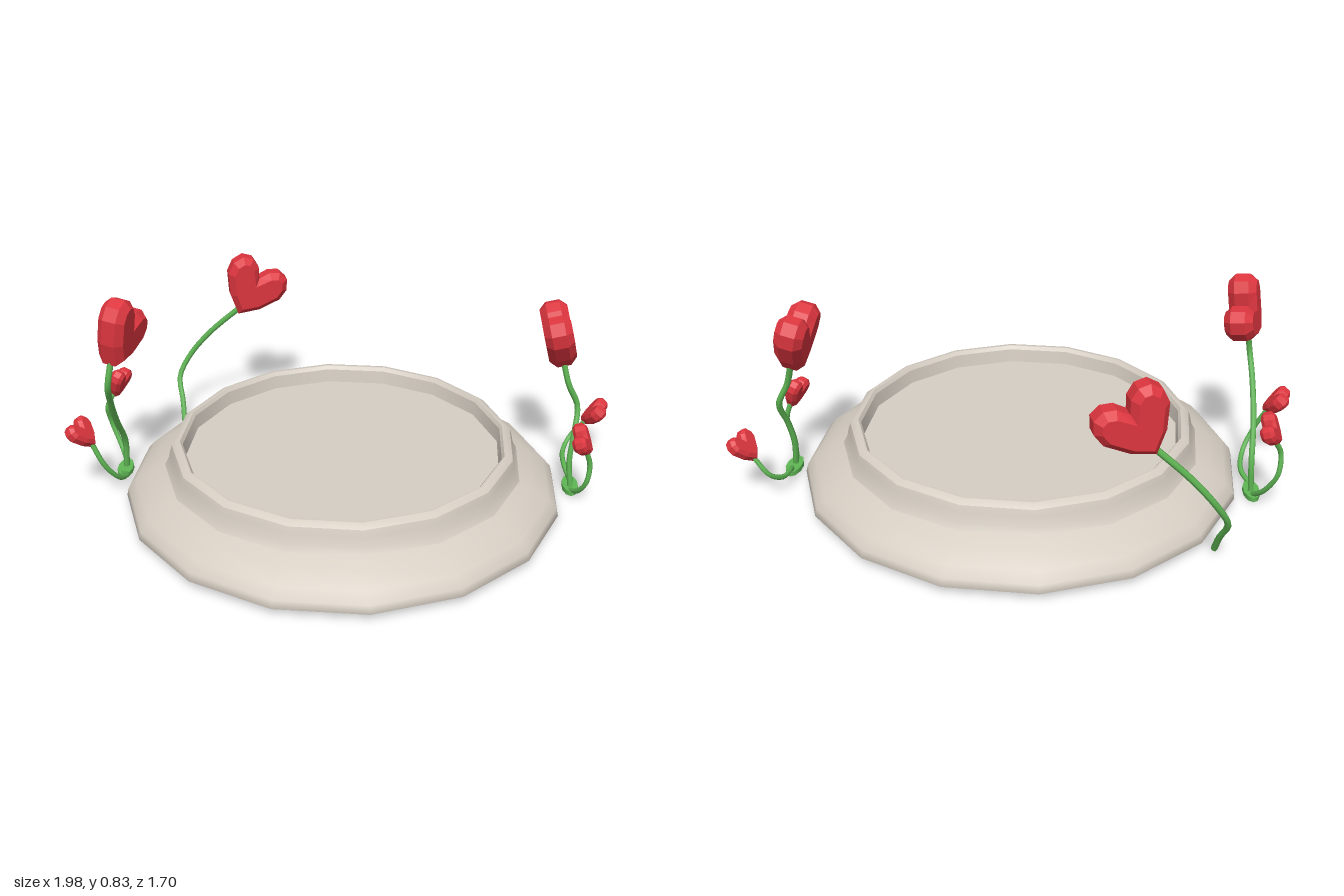
import * as THREE from 'three';

const V = (a) => new THREE.Vector3(...a);

export function createModel() {
  const model = new THREE.Group();
  const stone = new THREE.MeshStandardMaterial({ color: 0xd6cec3 });
  stone.name = 'warm stone';
  const red = new THREE.MeshStandardMaterial({ color: 0xdc353e });
  red.name = 'petal red';
  const green = new THREE.MeshStandardMaterial({ color: 0x5fb554 });
  green.name = 'stem green';

  function add(parent, geometry, material, name) {
    const mesh = new THREE.Mesh(geometry, material);
    mesh.name = name;
    parent.add(mesh);
    return mesh;
  }

  // Sixteen-sided dish, one lathe per smooth band so the edges between stay crisp
  const dish = new THREE.Group();
  dish.name = 'dish';
  dish.position.x = 0.015;
  model.add(dish);
  const bands = {
    dishUnderside: [[0, 0.01], [0.8, 0.01]],
    dishFoot: [[0.8, 0.01], [0.835, 0.02]],
    dishBody: [[0.835, 0.02], [0.85, 0.03], [0.842, 0.06], [0.81, 0.095], [0.75, 0.13], [0.695, 0.155]],
    dishNeck: [[0.695, 0.155], [0.68, 0.18], [0.672, 0.215], [0.664, 0.24]],
    dishLip: [[0.664, 0.24], [0.643, 0.256], [0.632, 0.254]],
    dishInnerStep: [[0.632, 0.254], [0.622, 0.24]],
    dishInnerWall: [[0.622, 0.24], [0.615, 0.185]],
    dishFloor: [[0.615, 0.185], [0, 0.185]],
  };
  for (const [name, points] of Object.entries(bands)) {
    const profile = points.map(([r, y]) => new THREE.Vector2(r, y));
    add(dish, new THREE.LatheGeometry(profile, 16), stone, name);
  }

  // Faceted heart, one unit wide, with bevelled faces
  const half = [[0.27, -0.24], [0.48, 0.06], [0.5, 0.26], [0.41, 0.42], [0.25, 0.46], [0.1, 0.38]];
  const outline = [
    [0, -0.46], ...half, [0, 0.22],
    ...half.slice().reverse().map(([x, y]) => [-x, y]),
  ].map(([x, y]) => new THREE.Vector2(x, y));
  const heartGeometry = new THREE.ExtrudeGeometry(new THREE.Shape(outline), {
    depth: 0.2, bevelThickness: 0.1, bevelSize: 0.09, bevelOffset: -0.09, bevelSegments: 1,
  });
  heartGeometry.translate(0, 0, -0.1);

  // Flower: heart oriented by its up and facing directions, on a curved stem
  function flower(parent, name, { at, up, face, size, stem, thick = 0.012 }) {
    const group = new THREE.Group();
    group.name = name;
    parent.add(group);
    const y = V(up).normalize();
    const x = new THREE.Vector3().crossVectors(y, V(face)).normalize();
    const z = new THREE.Vector3().crossVectors(x, y);
    const heart = add(group, heartGeometry, red, name + 'Heart');
    heart.quaternion.setFromRotationMatrix(new THREE.Matrix4().makeBasis(x, y, z));
    heart.position.set(...at);
    heart.scale.setScalar(size);
    // The stem ends just inside the heart's point
    const tip = V(at).addScaledVector(y, -0.38 * size);
    const curve = new THREE.CatmullRomCurve3([...stem.map(V), tip]);
    add(group, new THREE.TubeGeometry(curve, 20, thick, 6), green, name + 'Stem');
  }

  // Flat foot where the stems of a cluster meet
  function foot(parent, x, z, turn) {
    const mesh = add(parent, new THREE.CylinderGeometry(1, 1, 0.018, 10), green, 'stemFoot');
    mesh.scale.set(0.032, 1, 0.068);
    mesh.position.set(x, 0.009, z);
    mesh.rotation.y = turn;
  }

  // Cluster on the model's right side
  const right = new THREE.Group();
  right.name = 'rightCluster';
  model.add(right);
  foot(right, -0.885, 0.11, 0.3);
  flower(right, 'rightTallFlower', {
    at: [-0.78, 0.68, 0.25], up: [0.03, 0.19, -0.14], face: [1, -0.12, 0], size: 0.262,
    stem: [[-0.885, 0.01, 0.1], [-0.875, 0.14, 0.11], [-0.86, 0.27, 0.19], [-0.83, 0.41, 0.28], [-0.805, 0.5, 0.33]],
  });
  flower(right, 'rightRearBud', {
    at: [-0.945, 0.34, -0.005], up: [0.35, 0.85, -0.3], face: [-0.9, 0.35, 0], size: 0.13, thick: 0.01,
    stem: [[-0.89, 0.01, 0.08], [-0.94, 0.07, 0.03], [-0.985, 0.16, 0.01], [-0.985, 0.24, 0.03]],
  });
  flower(right, 'rightFrontBud', {
    at: [-0.925, 0.285, 0.345], up: [-0.6, 0.7, 0.05], face: [-0.7, -0.6, 0], size: 0.13, thick: 0.01,
    stem: [[-0.88, 0.01, 0.15], [-0.83, 0.04, 0.2], [-0.82, 0.08, 0.29], [-0.85, 0.16, 0.34]],
  });

  // Cluster on the model's left side
  const left = new THREE.Group();
  left.name = 'leftCluster';
  model.add(left);
  foot(left, 0.882, -0.275, 0.2);
  flower(left, 'leftTallFlower', {
    at: [0.78, 0.61, -0.345], up: [-0.06, 0.24, 0.02], face: [1, 0.22, -0.2], size: 0.268,
    stem: [[0.885, 0.01, -0.26], [0.87, 0.12, -0.275], [0.875, 0.22, -0.3], [0.875, 0.33, -0.35], [0.835, 0.42, -0.34]],
  });
  flower(left, 'leftFrontBud', {
    at: [0.92, 0.275, -0.15], up: [-0.35, 0.85, 0.3], face: [0.9, 0.35, 0], size: 0.13, thick: 0.01,
    stem: [[0.885, 0.01, -0.24], [0.92, 0.04, -0.19], [0.95, 0.1, -0.165], [0.955, 0.17, -0.175]],
  });
  flower(left, 'leftRearBud', {
    at: [0.935, 0.22, -0.52], up: [0.6, 0.7, 0], face: [0.7, -0.6, 0], size: 0.13, thick: 0.01,
    stem: [[0.88, 0.01, -0.31], [0.845, 0.055, -0.36], [0.83, 0.07, -0.45], [0.85, 0.11, -0.51]],
  });

  // Single flower leaning over the back rim
  flower(model, 'backFlower', {
    at: [-0.56, 0.595, -0.55], up: [0.11, 0.2, -0.06], face: [0.5, 0, 0.85], size: 0.265,
    stem: [[-0.815, 0.02, -0.33], [-0.835, 0.1, -0.37], [-0.865, 0.19, -0.42], [-0.83, 0.28, -0.465], [-0.74, 0.39, -0.495]],
  });

  return model;
}
